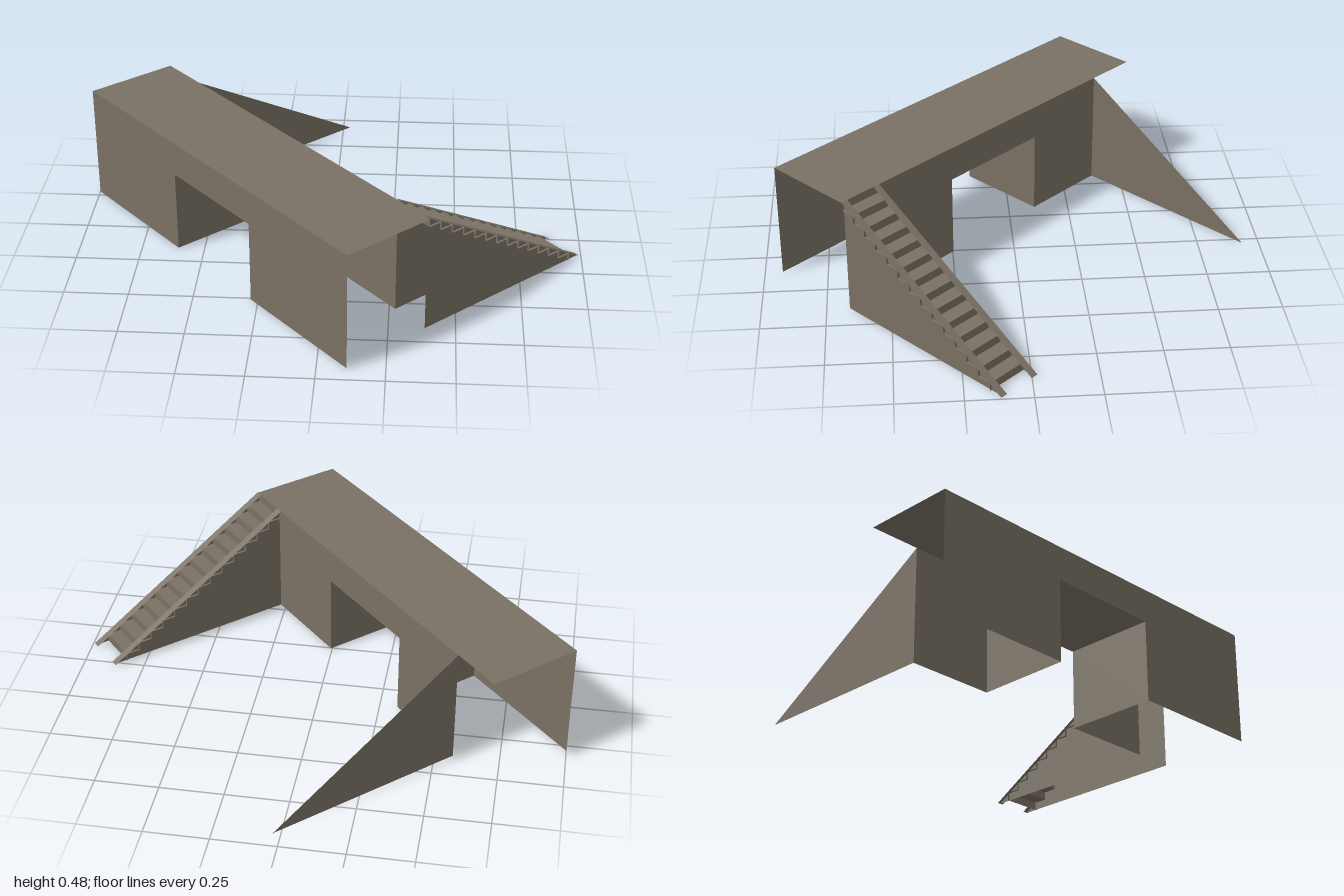
import * as THREE from 'three';

// Local frame: x runs across the platform and down the stairs, z runs along the platform.
const L = 1.642, W = 0.385, H = 0.475;   // platform length, width, height
const RUN = 0.815, STEPS = 14;           // horizontal run and number of risers
const DOOR0 = 0.585, DOOR1 = 1.068, DOOR_H = 0.335;
const STAIR0 = L - 0.19, STAIR1 = L;     // stair flight along z
const BUTTRESS = 0.215;                  // position of the far sloping wall

export function createModel() {
  const stone = new THREE.MeshStandardMaterial({ color: 0x7a7164, side: THREE.DoubleSide });
  stone.name = 'stone';

  const model = new THREE.Group();
  const body = new THREE.Group();
  body.name = 'platformWithStairs';
  body.rotation.y = 0.742;
  body.position.set(-1, 0, -0.28);
  model.add(body);

  function add(name, geometry) {
    const mesh = new THREE.Mesh(geometry, stone);
    mesh.name = name;
    body.add(mesh);
    return mesh;
  }

  // Flat panel from [x, y] corners
  function panel(points) {
    return new THREE.ShapeGeometry(new THREE.Shape(points.map(p => new THREE.Vector2(...p))));
  }

  // Folded sheet: an [x, y] line swept from z0 to z1, with hard folds
  function sheet(points, z0, z1) {
    const pos = [];
    for (let i = 0; i + 1 < points.length; i++) {
      const [ax, ay] = points[i], [bx, by] = points[i + 1];
      pos.push(ax, ay, z0, ax, ay, z1, bx, by, z1);
      pos.push(ax, ay, z0, bx, by, z1, bx, by, z0);
    }
    const g = new THREE.BufferGeometry();
    g.setAttribute('position', new THREE.Float32BufferAttribute(pos, 3));
    g.computeVertexNormals();
    return g;
  }

  // Long wall with a doorway, standing along z at a given x
  function longWall(name, x, z0, z1) {
    const g = panel([[z0, 0], [DOOR0, 0], [DOOR0, DOOR_H], [DOOR1, DOOR_H],
      [DOOR1, 0], [z1, 0], [z1, H], [z0, H]]);
    g.rotateY(-Math.PI / 2);
    add(name, g).position.x = x;
  }

  // Platform deck and its two long walls
  add('deck', sheet([[0, H], [W, H]], 0, L));
  longWall('frontWall', 0, 0, L);
  longWall('backWall', W, BUTTRESS, STAIR0 + 0.012);

  // Passage through the platform: side walls and ceiling
  for (const z of [DOOR0, DOOR1]) {
    add('passageWall', panel([[0, 0], [W, 0], [W, DOOR_H], [0, DOOR_H]])).position.z = z;
  }
  add('passageCeiling', sheet([[0, DOOR_H], [W, DOOR_H]], DOOR0, DOOR1));

  // Triangular sloping walls: one free-standing, two carrying the stairs
  for (const z of [BUTTRESS, STAIR0 + 0.012, STAIR1 - 0.012]) {
    add('slopingWall', panel([[W, 0], [W + RUN, 0], [W, H]])).position.z = z;
  }

  // Stair flight: alternating risers and treads
  const profile = [[W, H]];
  for (let k = 1; k < STEPS; k++) {
    const y = H * (1 - k / STEPS);
    profile.push([W + RUN * (k - 1) / STEPS, y], [W + RUN * k / STEPS, y]);
  }
  profile.push([W + RUN * (STEPS - 1) / STEPS, 0]);
  add('stairs', sheet(profile, STAIR0 + 0.003, STAIR1 - 0.003));

  // Sloping stringers along both edges of the flight
  for (const z of [STAIR0, STAIR1 - 0.03]) {
    add('stringer', sheet([[W, H + 0.002], [W + RUN, 0.002]], z, z + 0.03));
  }

  return model;
}
